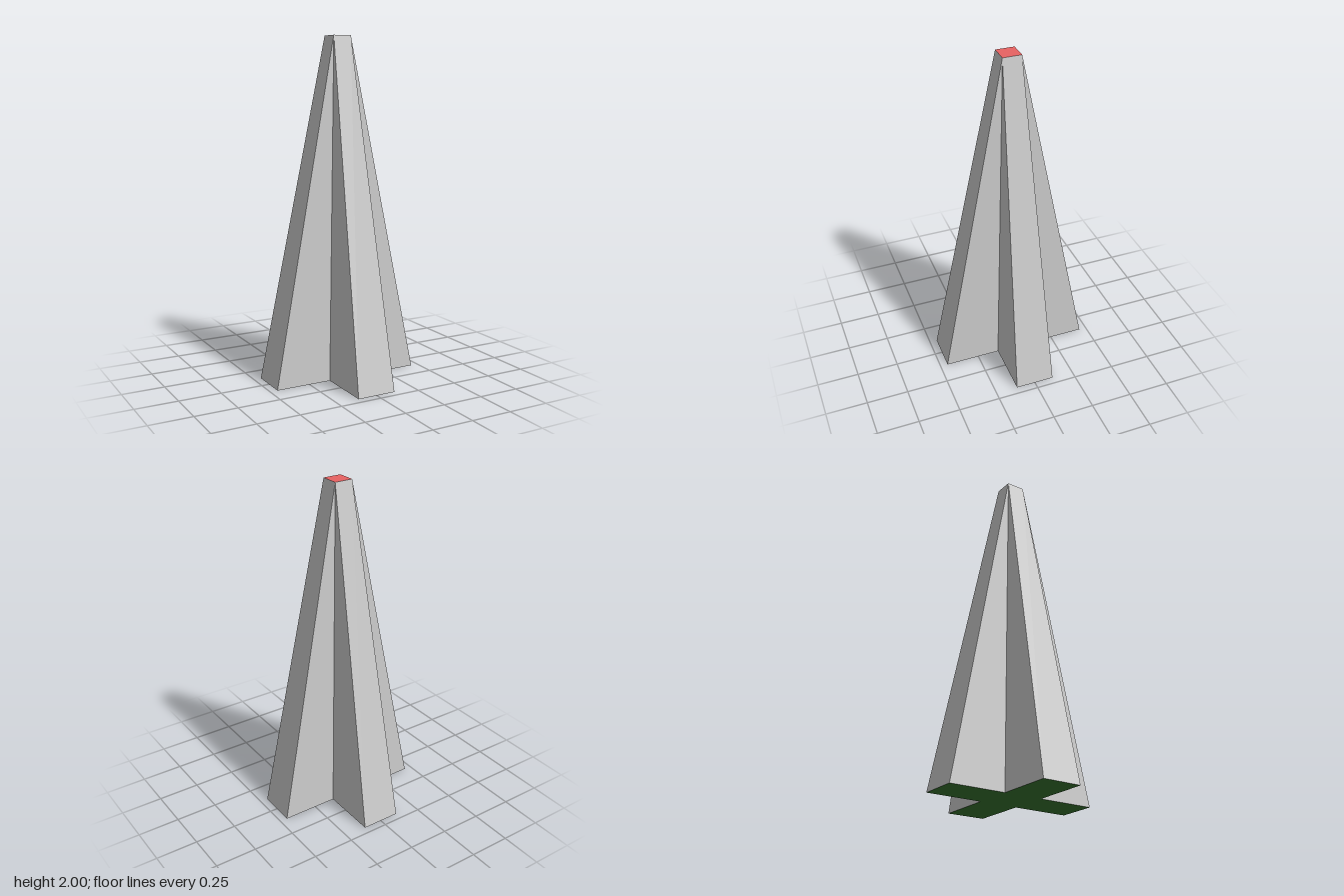
import * as THREE from 'three';

const HEIGHT = 2;
const REACH = 0.455; // centre to arm end at the base
const HALF = 0.117;  // half width of an arm at the base
const TIP = 0.055;   // half width of the square top

// One tapering arm facing +z: a sloped end face and two triangular sides
function armGeometry() {
  const outerL = [-HALF, 0, REACH], outerR = [HALF, 0, REACH];
  const innerL = [-HALF, 0, HALF], innerR = [HALF, 0, HALF];
  const topL = [-TIP, HEIGHT, TIP], topR = [TIP, HEIGHT, TIP];
  const corners = [
    outerL, outerR, topR, outerL, topR, topL,
    outerR, innerR, topR,
    innerL, outerL, topL,
  ];
  const geometry = new THREE.BufferGeometry();
  geometry.setAttribute('position', new THREE.Float32BufferAttribute(corners.flat(), 3));
  geometry.computeVertexNormals();
  return geometry;
}

// Cross outline, one arm per quarter turn
function crossShape() {
  const points = [];
  for (let i = 0; i < 4; i++) {
    for (const [x, y] of [[HALF, HALF], [REACH, HALF], [REACH, -HALF]]) {
      points.push(new THREE.Vector2(x, y).rotateAround(new THREE.Vector2(), -i * Math.PI / 2));
    }
  }
  return new THREE.Shape(points.reverse());
}

export function createModel() {
  const model = new THREE.Group();
  model.name = 'crossSpire';
  const grey = new THREE.MeshStandardMaterial({ color: 0xcccccc, flatShading: true });
  const red = new THREE.MeshStandardMaterial({ color: 0xe86262 });
  const green = new THREE.MeshStandardMaterial({ color: 0x38762f });

  // Four arms around the axis
  const armShape = armGeometry();
  ['frontArm', 'leftArm', 'backArm', 'rightArm'].forEach((name, i) => {
    const arm = new THREE.Mesh(armShape, grey);
    arm.name = name;
    arm.rotation.y = i * Math.PI / 2;
    model.add(arm);
  });

  // Square top cap
  const top = new THREE.Mesh(new THREE.PlaneGeometry(2 * TIP, 2 * TIP).rotateX(-Math.PI / 2), red);
  top.name = 'topCap';
  top.position.y = HEIGHT;
  model.add(top);

  // Cross-shaped underside
  const base = new THREE.Mesh(new THREE.ShapeGeometry(crossShape()).rotateX(Math.PI / 2), green);
  base.name = 'baseCap';
  model.add(base);

  return model;
}
